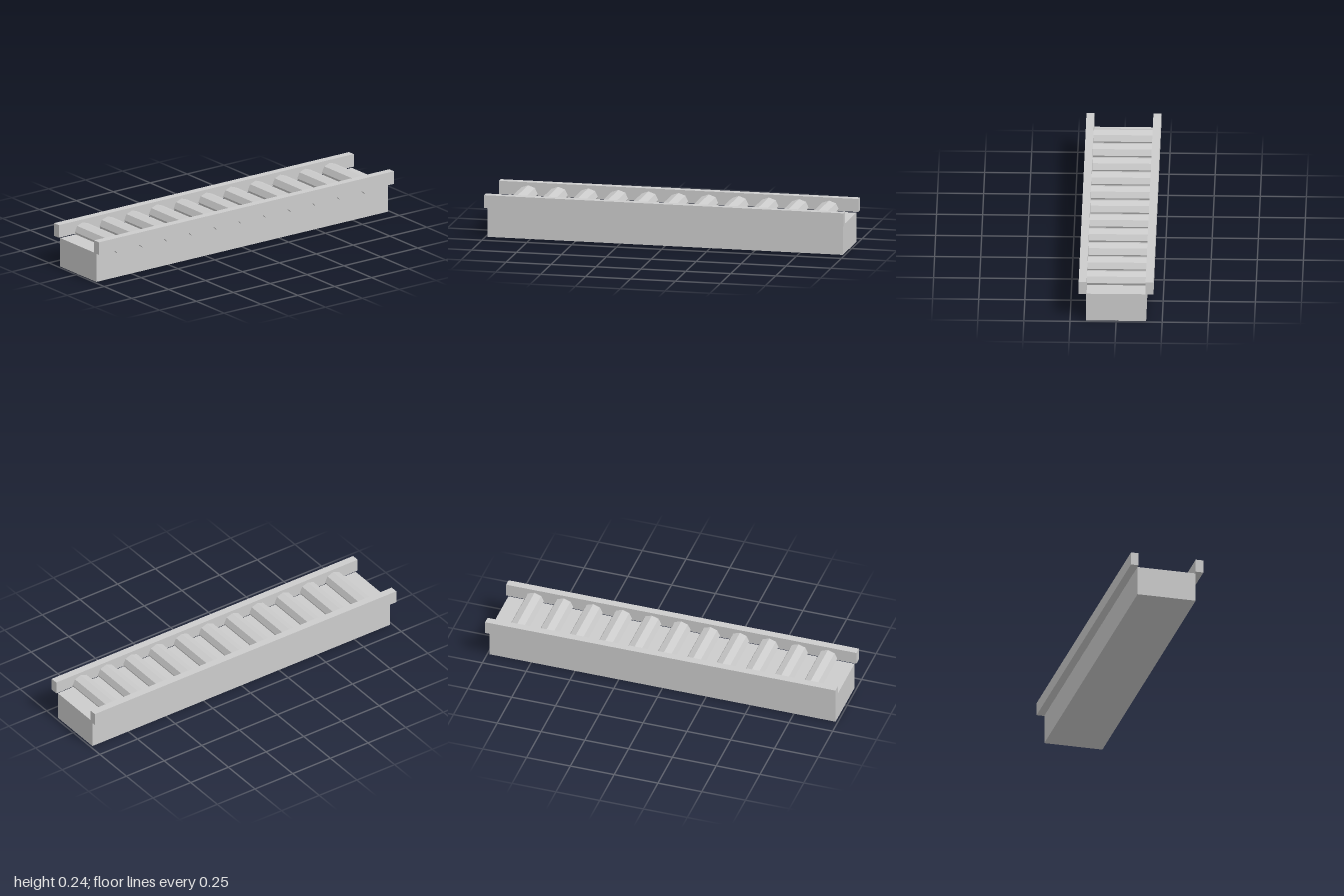
import * as THREE from 'three';

export function createModel() {
  const model = new THREE.Group();
  model.name = 'rollerConveyor';
  const grey = new THREE.MeshStandardMaterial({ color: 0xcccccc });
  grey.name = 'light grey';
  grey.flatShading = true;

  const add = (geometry, name, x, y, z) => {
    const mesh = new THREE.Mesh(geometry, grey);
    mesh.name = name;
    mesh.position.set(x, y, z);
    model.add(mesh);
  };

  // Solid base
  add(new THREE.BoxGeometry(1.976, 0.163, 0.326), 'base', 0, 0.0815, 0);

  // Side rails
  const rail = new THREE.BoxGeometry(2, 0.072, 0.043);
  add(rail, 'frontRail', 0, 0.204, 0.1815);
  add(rail, 'backRail', 0, 0.204, -0.1815);

  // Eight-sided rollers, slightly wider than tall, with an edge on top
  const roller = new THREE.CylinderGeometry(1, 1, 0.322, 8).rotateX(Math.PI / 2);
  roller.scale(0.0535, 0.0455, 1);

  // Axle stubs under the front rail, with a flat underneath
  const axle = new THREE.CylinderGeometry(0.0418, 0.0418, 0.03, 8, 1, false, Math.PI / 8)
    .rotateX(Math.PI / 2);

  for (let i = -5; i <= 5; i++) {
    const x = i * 0.1675;
    add(roller, 'roller', x, 0.178, 0);
    add(axle, 'axle', x, 0.1785, 0.165);
  }
  return model;
}
